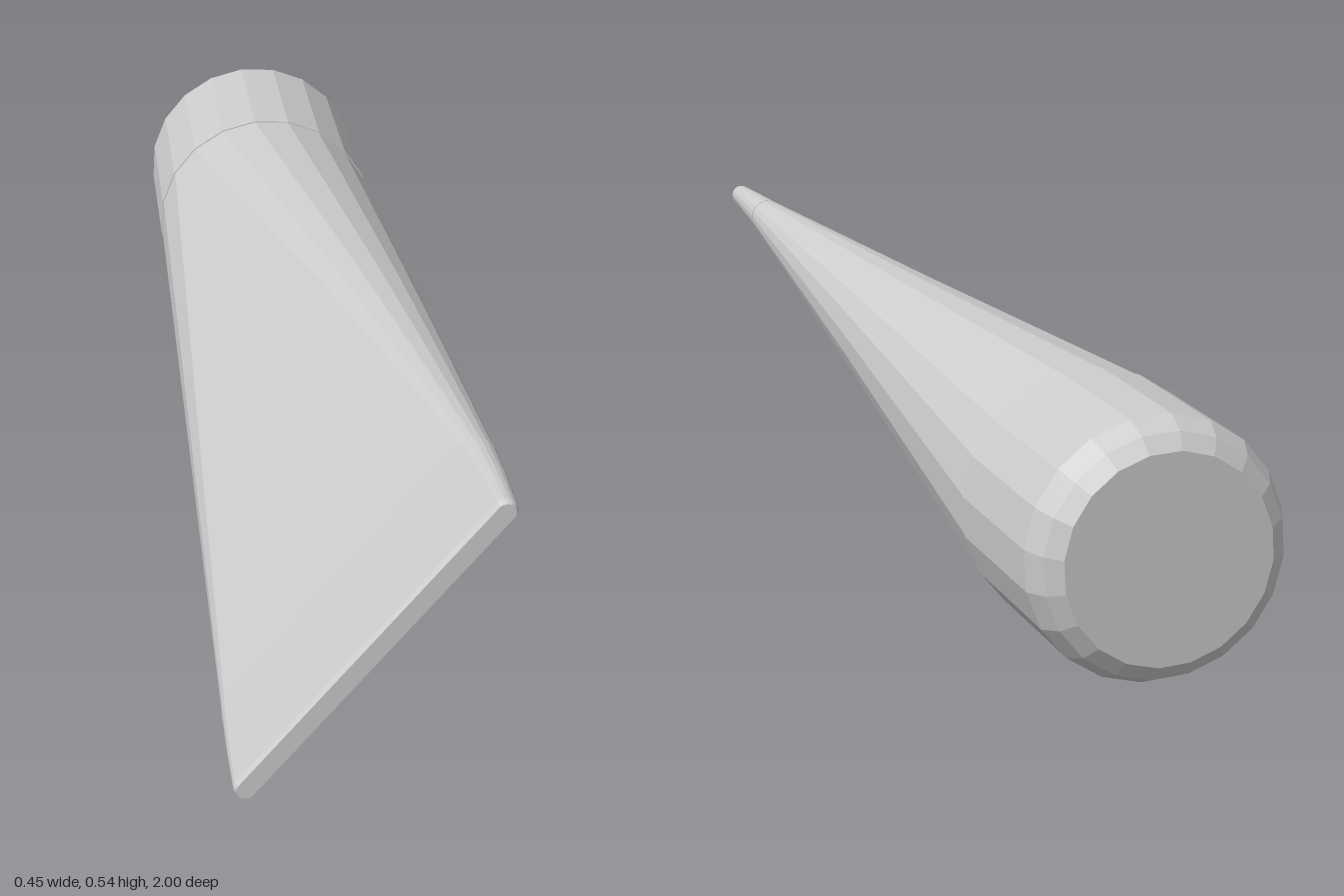
import * as THREE from 'three';

const SIDES = 20; // points around each cross-section
const material = new THREE.MeshStandardMaterial({ color: 0xcccccc, flatShading: true });

// Stadium cross-section: half circles of radius h, pulled apart to half-width w
function ring([z, w, h]) {
  const points = [];
  for (let i = 0; i < SIDES; i++) {
    const a = ((i + 0.5) / SIDES) * Math.PI * 2;
    const shift = Math.sign(Math.cos(a)) * (w - h);
    points.push([Math.cos(a) * h + shift, Math.sin(a) * h, z]);
  }
  return points;
}

// Skin a list of [z, halfWidth, halfThickness] sections, closing the chosen ends
function loft(name, sections, closeBack, closeFront) {
  const positions = sections.flatMap((s) => ring(s).flat());
  const index = [];
  const last = sections.length - 1;
  for (let s = 0; s < last; s++) {
    for (let i = 0; i < SIDES; i++) {
      const j = (i + 1) % SIDES;
      const a = s * SIDES + i, b = s * SIDES + j;
      index.push(a, b, b + SIDES, a, b + SIDES, a + SIDES);
    }
  }
  for (let i = 1; i < SIDES - 1; i++) {
    const f = last * SIDES;
    if (closeBack) index.push(0, i + 1, i);
    if (closeFront) index.push(f, f + i, f + i + 1);
  }
  const geometry = new THREE.BufferGeometry();
  geometry.setAttribute('position', new THREE.Float32BufferAttribute(positions, 3));
  geometry.setIndex(index);
  geometry.computeVertexNormals();
  const mesh = new THREE.Mesh(geometry, material);
  mesh.name = name;
  return mesh;
}

export function createModel() {
  const model = new THREE.Group();
  model.name = 'squeezeTube';

  // Round cap with a bevelled end
  model.add(loft('cap', [
    [-1, 0.178, 0.178],
    [-0.98, 0.205, 0.205],
    [-0.94, 0.223, 0.223],
    [-0.64, 0.225, 0.225],
  ], true, true));

  // Body flattening from a circle towards the crimp
  model.add(loft('body', [
    [-0.64, 0.223, 0.223],
    [0.09, 0.283, 0.122],
    [0.43, 0.309, 0.08],
    [0.8, 0.336, 0.035],
  ], true, true));

  // Thin crimped end
  model.add(loft('crimp', [
    [0.8, 0.337, 0.035],
    [0.9, 0.341, 0.027],
    [0.99, 0.342, 0.02],
    [1, 0.338, 0.016],
  ], true, true));

  // The tube lies rolled over on its diagonal
  model.rotation.z = Math.atan2(0.535, 0.44);
  model.position.y = 0.272;
  const root = new THREE.Group();
  root.name = 'tube';
  root.add(model);
  return root;
}
